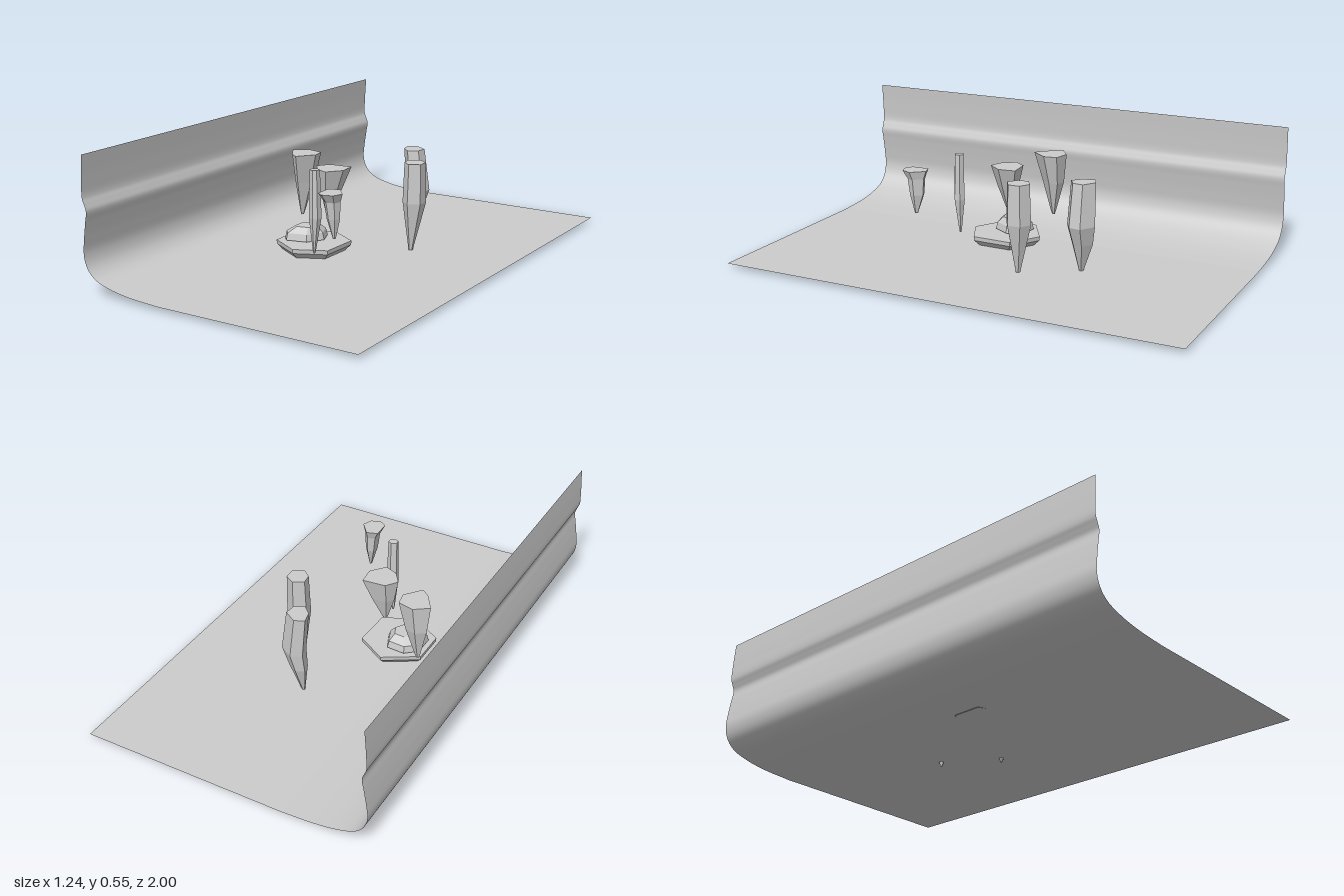
import * as THREE from 'three';

const material = () => new THREE.MeshStandardMaterial({ color: 0xcccccc, side: THREE.DoubleSide });

// Faceted rock: an [x, z] outline repeated in rings of [y, scale, xShift, zShift], top to bottom
function rock(name, outline, rings) {
  const n = outline.length;
  const cx = outline.reduce((s, p) => s + p[0], 0) / n;
  const cz = outline.reduce((s, p) => s + p[1], 0) / n;
  const positions = [];
  const index = [];
  for (const [y, scale, dx = 0, dz = 0] of rings) {
    for (const [x, z] of outline) {
      positions.push(cx + dx + (x - cx) * scale, y, cz + dz + (z - cz) * scale);
    }
  }
  for (let r = 0; r < rings.length - 1; r++) {
    for (let i = 0; i < n; i++) {
      const a = r * n + i, b = r * n + (i + 1) % n;
      index.push(a, b, a + n, b, b + n, a + n);
    }
  }
  // Flat top and bottom
  const last = (rings.length - 1) * n;
  for (let i = 1; i < n - 1; i++) {
    index.push(0, i + 1, i, last, last + i, last + i + 1);
  }
  const indexed = new THREE.BufferGeometry();
  indexed.setAttribute('position', new THREE.Float32BufferAttribute(positions, 3));
  indexed.setIndex(index);
  const geometry = indexed.toNonIndexed();
  geometry.computeVertexNormals();
  const mat = material();
  mat.flatShading = true;
  const mesh = new THREE.Mesh(geometry, mat);
  mesh.name = name;
  return mesh;
}

// Floor curving up into a rippled wall: one open profile swept along z
function backdrop() {
  const wall = new THREE.CatmullRomCurve3([
    [-0.26, 0.02], [-0.40, 0.029], [-0.50, 0.046], [-0.57, 0.072], [-0.606, 0.11],
    [-0.62, 0.16], [-0.615, 0.22], [-0.604, 0.29], [-0.597, 0.335], [-0.605, 0.36],
    [-0.614, 0.385], [-0.613, 0.45], [-0.606, 0.555],
  ].map(([x, y]) => new THREE.Vector3(x, y, 0)), false, 'centripetal');
  const profile = [new THREE.Vector3(0.62, 0.02, 0), new THREE.Vector3(0.1, 0.02, 0), ...wall.getPoints(60)];
  const geometry = new THREE.PlaneGeometry(1, 2, profile.length - 1, 1);
  const pos = geometry.attributes.position;
  for (let i = 0; i < pos.count; i++) {
    const p = profile[profile.length - 1 - (i % profile.length)];
    pos.setXYZ(i, p.x, p.y, i < profile.length ? -1 : 1);
  }
  geometry.computeVertexNormals();
  const mesh = new THREE.Mesh(geometry, material());
  mesh.name = 'floorAndWall';
  return mesh;
}

export function createModel() {
  const model = new THREE.Group();
  model.add(backdrop());

  // Tall spikes reaching the floor
  model.add(rock('backSpike',
    [[-0.005, -0.385], [0.035, -0.405], [0.09, -0.37], [0.085, -0.325], [0.045, -0.30], [0.008, -0.335]],
    [[0.4, 1], [0.22, 1.12, 0.02, 0], [0.14, 0.85, 0.003, 0], [0.015, 0.16, -0.009, 0.008], [0.002, 0.09, -0.009, 0.008]]));
  model.add(rock('sideSpike',
    [[0.135, -0.155], [0.178, -0.18], [0.22, -0.155], [0.222, -0.105], [0.18, -0.08], [0.142, -0.11]],
    [[0.4, 1], [0.23, 1.1, -0.003, 0], [0.02, 0.2, -0.012, 0.008], [0.002, 0.1, -0.012, 0.008]]));

  // Hanging spikes around the stone
  model.add(rock('leftSpike',
    [[-0.395, -0.065], [-0.335, -0.108], [-0.265, -0.092], [-0.255, -0.035], [-0.31, 0.035], [-0.345, 0.01]],
    [[0.397, 1], [0.27, 0.66, -0.012, -0.008], [0.135, 0.16, -0.018, -0.005], [0.12, 0.09, -0.018, -0.005]]));
  model.add(rock('middleSpike',
    [[-0.185, 0.06], [-0.15, 0.01], [-0.05, 0.0], [-0.042, 0.075], [-0.09, 0.135], [-0.145, 0.115]],
    [[0.378, 1], [0.28, 0.62, -0.01, 0], [0.195, 0.2, -0.015, 0], [0.178, 0.11, -0.015, 0]]));
  model.add(rock('thinSpike',
    [[-0.075, 0.258], [-0.052, 0.245], [-0.032, 0.256], [-0.034, 0.28], [-0.05, 0.29], [-0.072, 0.28]],
    [[0.42, 0.9], [0.22, 1.1], [0.085, 0.3, -0.005, 0], [0.07, 0.18, -0.005, 0]]));
  model.add(rock('frontSpike',
    [[0.068, 0.35], [0.115, 0.335], [0.16, 0.39], [0.143, 0.432], [0.098, 0.445], [0.07, 0.425]],
    [[0.375, 1], [0.34, 0.68, 0.003, -0.008], [0.27, 0.55, 0.005, -0.012], [0.2, 0.18, 0.008, -0.012], [0.188, 0.12, 0.008, -0.012]]));

  // Two stacked stones
  model.add(rock('lowerStone',
    [[-0.315, 0.027], [-0.17, -0.06], [-0.038, 0.02], [-0.042, 0.195], [-0.175, 0.257], [-0.315, 0.175]],
    [[0.063, 1], [0.045, 0.99], [0.02, 0.82]]));
  model.add(rock('upperStone',
    [[-0.295, 0.05], [-0.245, 0.005], [-0.165, 0.01], [-0.133, 0.085], [-0.175, 0.155], [-0.265, 0.175], [-0.295, 0.14]],
    [[0.123, 0.55, 0.01, 0], [0.098, 0.92], [0.068, 1]]));
  return model;
}
